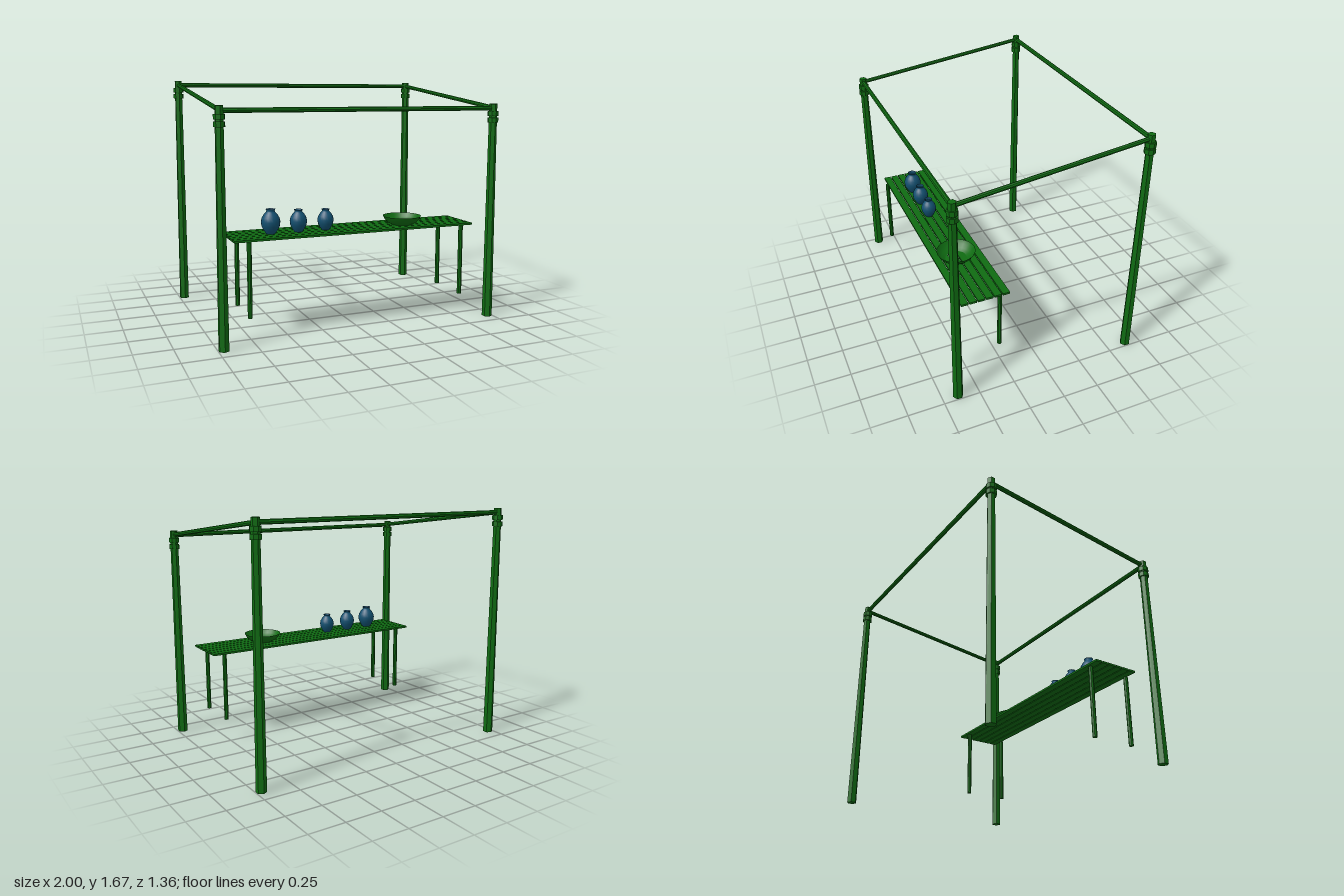
import * as THREE from 'three';

const green = new THREE.MeshStandardMaterial({ color: 0x0f6b12, flatShading: true });
const bowlGreen = new THREE.MeshStandardMaterial({ color: 0x0f6b12, side: THREE.DoubleSide });
const blue = new THREE.MeshStandardMaterial({ color: 0x125070, side: THREE.DoubleSide });

function addMesh(parent, name, geometry, material, x, y, z) {
  const mesh = new THREE.Mesh(geometry, material);
  mesh.name = name;
  mesh.position.set(x, y, z);
  parent.add(mesh);
  return mesh;
}

// Round pole between two points
function addRail(parent, name, a, b, radius) {
  const dir = new THREE.Vector3().subVectors(b, a);
  const mid = a.clone().add(b).multiplyScalar(0.5);
  const rail = addMesh(parent, name, new THREE.CylinderGeometry(radius, radius, dir.length(), 8), green, mid.x, mid.y, mid.z);
  rail.quaternion.setFromUnitVectors(new THREE.Vector3(0, 1, 0), dir.normalize());
}

// Tapered six-sided post with two binding rings near the top
function addPost(parent, x, z, height) {
  const post = new THREE.Group();
  post.name = 'post';
  post.position.set(x, 0, z);
  addMesh(post, 'postShaft', new THREE.CylinderGeometry(0.027, 0.035, height, 6), green, 0, height / 2, 0);
  for (const drop of [0.067, 0.112]) {
    addMesh(post, 'bindingRing', new THREE.CylinderGeometry(0.037, 0.037, 0.033, 8), green, 0, height - drop, 0);
  }
  parent.add(post);
}

function lathe(points, segments) {
  return new THREE.LatheGeometry(points.map(([r, y]) => new THREE.Vector2(r, y)), segments);
}

export function createModel() {
  const model = new THREE.Group();
  model.name = 'marketStall';
  const X = 0.965, Z = 0.643;
  const frontY = 1.485, backY = 1.645;

  // Frame: low front posts, tall back posts, rails around the top
  const frame = new THREE.Group();
  frame.name = 'frame';
  model.add(frame);
  for (const s of [-1, 1]) {
    addPost(frame, s * X, Z, 1.512);
    addPost(frame, s * X, -Z, 1.675);
    addRail(frame, 'sideRail', new THREE.Vector3(s * X, frontY, Z), new THREE.Vector3(s * X, backY, -Z), 0.015);
  }
  addRail(frame, 'frontRail', new THREE.Vector3(-X, 1.482, Z), new THREE.Vector3(X, 1.482, Z), 0.016);
  addRail(frame, 'backRail', new THREE.Vector3(-X, backY, -Z), new THREE.Vector3(X, backY, -Z), 0.016);

  // Table: six planks on four legs
  const table = new THREE.Group();
  table.name = 'table';
  model.add(table);
  for (let i = 0; i < 6; i++) {
    addMesh(table, 'plank', new THREE.BoxGeometry(1.735, 0.014, 0.05), green, 0, 0.664, 0.256 + i * 0.0576);
  }
  for (const x of [-0.773, 0.773]) {
    for (const z of [0.262, 0.57]) {
      addMesh(table, 'tableLeg', new THREE.CylinderGeometry(0.016, 0.016, 0.492, 8), green, x, 0.411, z);
    }
  }

  // Vases: one silhouette scaled by radius and height
  const outline = [[0.45, 0], [0.7, 0.14], [0.93, 0.32], [1, 0.5], [0.9, 0.66], [0.7, 0.79], [0.48, 0.88], [0.42, 0.93], [0.5, 1]];
  for (const [x, radius, height] of [[-0.582, 0.064, 0.166], [-0.389, 0.058, 0.152], [-0.195, 0.055, 0.144]]) {
    addMesh(model, 'vase', lathe(outline.map(([r, y]) => [r * radius, y * height]), 20), blue, x, 0.669, 0.415);
  }

  // Wide shallow bowl
  addMesh(model, 'bowl', lathe([[0.072, 0], [0.1, 0.016], [0.12, 0.036], [0.134, 0.062]], 24), bowlGreen, 0.384, 0.669, 0.418);

  return model;
}
